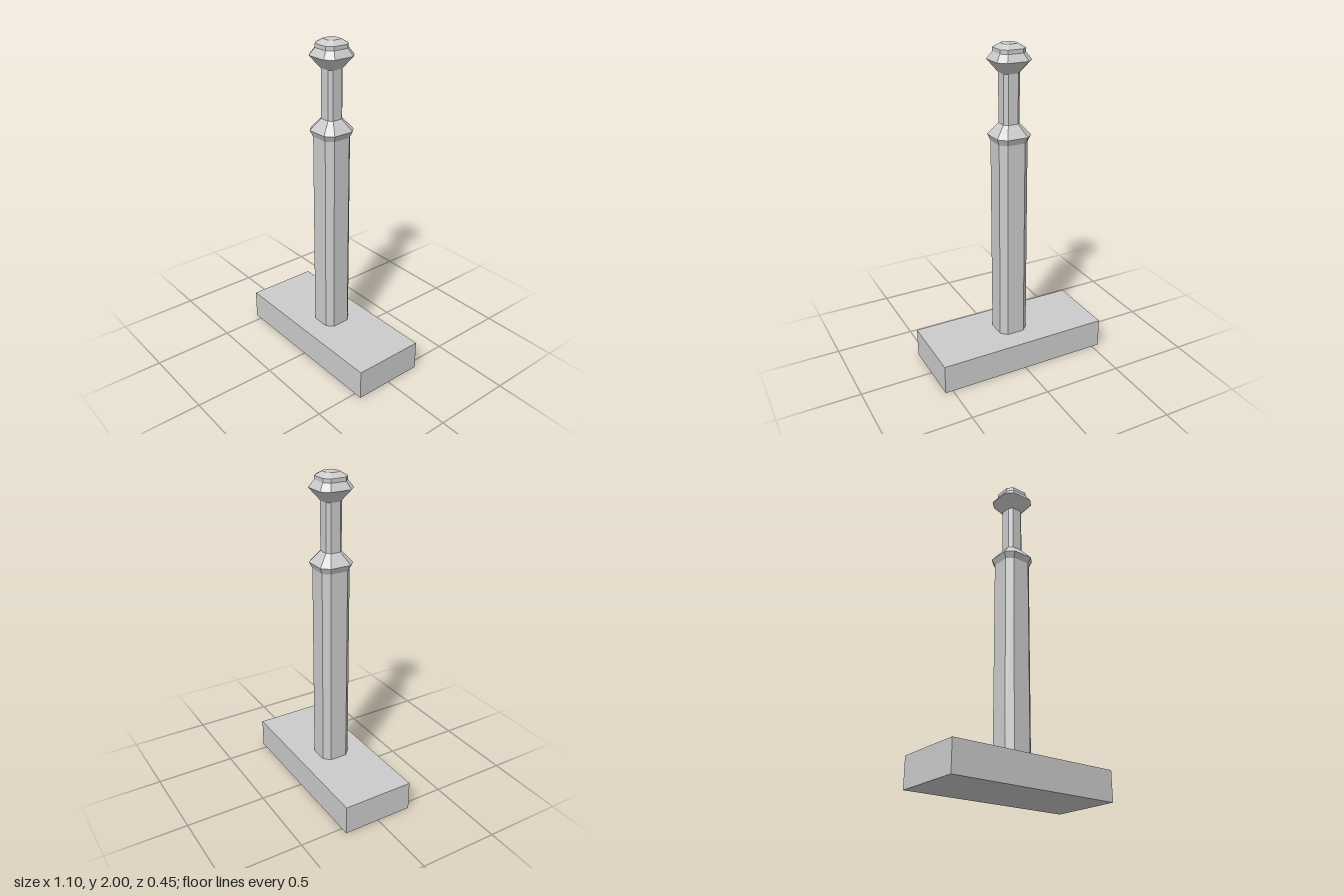
import * as THREE from 'three';

const material = new THREE.MeshStandardMaterial({ color: 0xcccccc, flatShading: true });

// Corners of a square of half-width h with chamfered corners
function chamferedSquare(h, y) {
  const c = h * 0.6;
  return [[c, h], [h, c], [h, -c], [c, -h], [-c, -h], [-h, -c], [-h, c], [-c, h]]
    .map(([x, z]) => [x, y, z]);
}

// Stacks chamfered squares, given as [half-width, height] from bottom to top, and caps both ends
function stack(name, profile) {
  const rings = profile.map(([h, y]) => chamferedSquare(h, y));
  const positions = [];
  const triangle = (a, b, c) => positions.push(...a, ...b, ...c);
  for (let i = 0; i < rings.length - 1; i++) {
    const low = rings[i], high = rings[i + 1];
    for (let j = 0; j < 8; j++) {
      const k = (j + 1) % 8;
      triangle(low[j], low[k], high[k]);
      triangle(low[j], high[k], high[j]);
    }
  }
  const bottom = rings[0], top = rings[rings.length - 1];
  for (let j = 1; j < 7; j++) {
    triangle(top[0], top[j], top[j + 1]);
    triangle(bottom[0], bottom[j + 1], bottom[j]);
  }
  const geometry = new THREE.BufferGeometry();
  geometry.setAttribute('position', new THREE.Float32BufferAttribute(positions, 3));
  geometry.computeVertexNormals();
  const mesh = new THREE.Mesh(geometry, material);
  mesh.name = name;
  return mesh;
}

export function createModel() {
  const model = new THREE.Group();
  model.name = 'post';

  // Flat rectangular foot
  const base = new THREE.Mesh(new THREE.BoxGeometry(1.095, 0.185, 0.452), material);
  base.name = 'base';
  base.position.y = 0.0925;
  model.add(base);

  // Shaft, flared collar, slim neck and stepped head in one continuous stack
  model.add(stack('post', [
    [0.092, 0.185], [0.092, 1.44],
    [0.109, 1.478], [0.052, 1.547],
    [0.052, 1.838], [0.109, 1.911],
    [0.08, 1.953], [0.08, 1.976], [0.043, 2],
  ]));
  return model;
}
